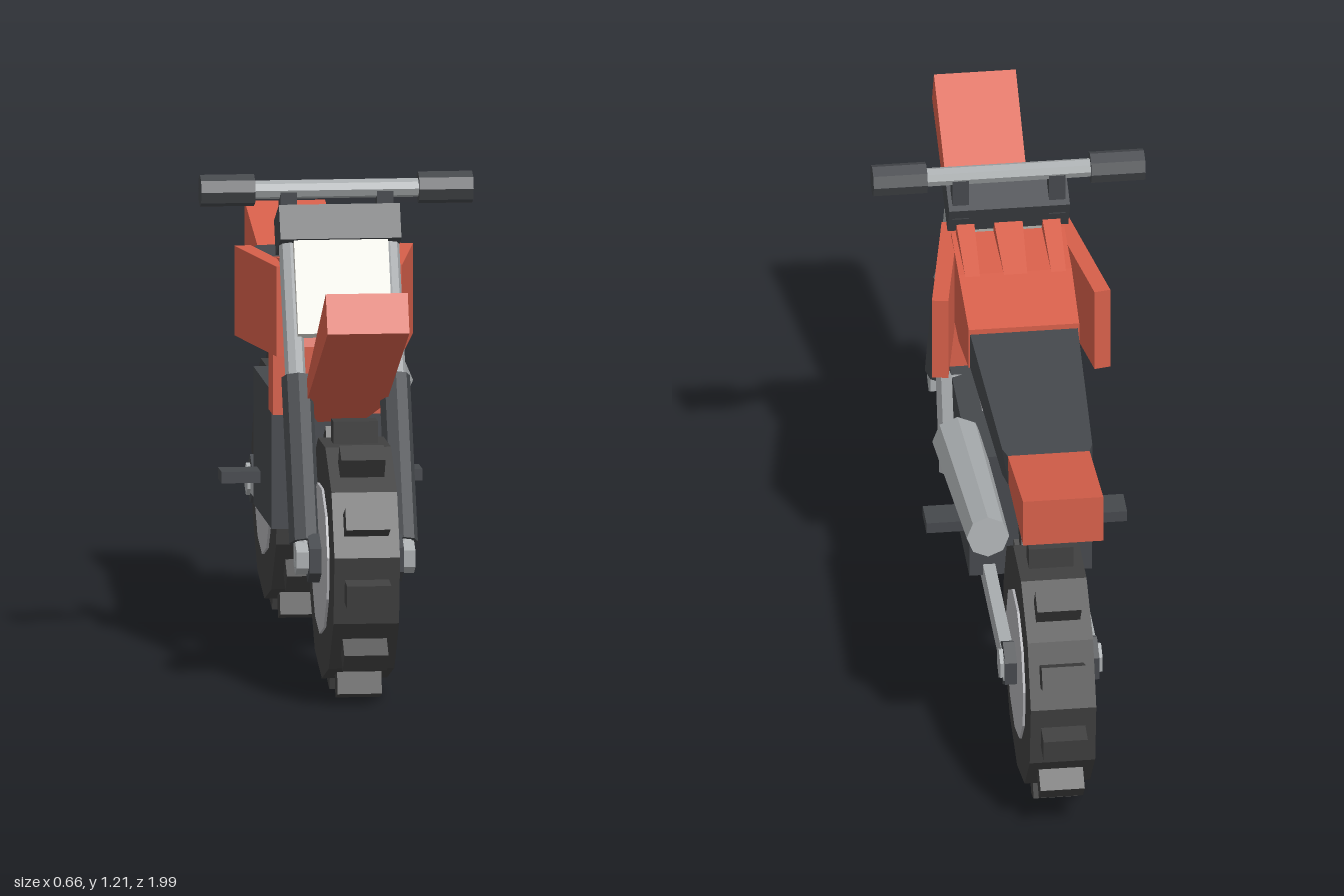
import * as THREE from 'three';

const mat = (color) => new THREE.MeshStandardMaterial({ color, flatShading: true });
const red = mat(0xd65f4a), dark = mat(0x45484c), black = mat(0x404040);
const metal = mat(0xa8acae), rimGrey = mat(0xb0b0b4), cream = mat(0xe2e1da);

export function createModel() {
  const root = new THREE.Group();

  const add = (name, geometry, material, parent = root) => {
    const mesh = new THREE.Mesh(geometry, material);
    mesh.name = name;
    parent.add(mesh);
    return mesh;
  };
  const box = (name, size, pos, material, parent) => {
    const mesh = add(name, new THREE.BoxGeometry(...size), material, parent);
    mesh.position.set(...pos);
    return mesh;
  };
  // Rod running from point a to point b
  const rod = (name, a, b, ra, rb, sides, material, parent) => {
    const from = new THREE.Vector3(...a), to = new THREE.Vector3(...b);
    const dir = to.clone().sub(from);
    const mesh = add(name, new THREE.CylinderGeometry(rb, ra, dir.length(), sides), material, parent);
    mesh.position.copy(from).add(to).multiplyScalar(0.5);
    mesh.quaternion.setFromUnitVectors(new THREE.Vector3(0, 1, 0), dir.normalize());
    return mesh;
  };
  // Drum lying along x, with one corner pointing straight down
  const drum = (name, radius, width, sides, material, parent) =>
    add(name, new THREE.CylinderGeometry(radius, radius, width, sides, 1, false, -Math.PI / 2)
      .rotateZ(Math.PI / 2), material, parent);
  // Four-sided body through sections [zBottom, yBottom, zTop, yTop, halfWidth], rear to front
  const loft = (name, sections, material, cx = 0) => {
    const pos = [], idx = [], last = (sections.length - 1) * 4;
    for (const [zb, yb, zt, yt, w] of sections)
      pos.push(cx - w, yb, zb, cx + w, yb, zb, cx + w, yt, zt, cx - w, yt, zt);
    for (let s = 0; s < last; s += 4)
      for (let j = 0; j < 4; j++) {
        const a = s + j, b = s + (j + 1) % 4;
        idx.push(a, b, b + 4, a, b + 4, a + 4);
      }
    idx.push(0, 2, 1, 0, 3, 2, last, last + 1, last + 2, last, last + 2, last + 3);
    const g = new THREE.BufferGeometry();
    g.setAttribute('position', new THREE.Float32BufferAttribute(pos, 3));
    g.setIndex(idx);
    const flat = g.toNonIndexed();
    flat.computeVertexNormals();
    return add(name, flat, material);
  };

  // Wheels with eleven tread knobs
  const axleY = 0.336;
  for (const [name, z, axleWidth] of [['frontWheel', 0.66, 0.29], ['rearWheel', -0.655, 0.25]]) {
    const wheel = new THREE.Group();
    wheel.name = name;
    wheel.position.set(0, axleY, z);
    root.add(wheel);
    drum('tyre', 0.295, 0.16, 11, black, wheel);
    drum('rim', 0.185, 0.172, 11, rimGrey, wheel);
    drum('hub', 0.06, 0.23, 6, dark, wheel);
    drum('axle', 0.04, axleWidth, 6, metal, wheel);
    for (let i = 0; i < 11; i++) {
      const a = (i / 11) * Math.PI * 2;
      const knob = box('treadKnob', [0.108, 0.08, 0.056],
        [0, Math.cos(a) * 0.298, Math.sin(a) * 0.298], black, wheel);
      knob.rotation.x = a;
    }
  }

  // Parts mirrored on both sides
  for (const s of [-1, 1]) {
    rod('forkTube', [s * 0.122, 0.315, 0.665], [s * 0.122, 1.08, 0.29], 0.025, 0.025, 8, metal);
    rod('forkLower', [s * 0.119, 0.37, 0.638], [s * 0.119, 0.75, 0.456], 0.038, 0.038, 8, dark);
    box('handlebarRiser', [0.04, 0.11, 0.042], [s * 0.118, 1.12, 0.235], dark);
    rod('grip', [s * 0.2, 1.178, 0.235], [s * 0.332, 1.178, 0.235], 0.039, 0.039, 8, dark);
    const shroud = box('tankShroud', [0.04, 0.22, 0.36], [s * 0.166, 0.89, 0.13], red);
    shroud.rotation.y = -s * 0.18;
    box('swingarm', [0.03, 0.06, 0.56], [s * 0.102, 0.336, -0.41], metal);
    box('footpeg', [0.12, 0.028, 0.08], [s * 0.185, 0.425, -0.125], dark);
  }

  // Steering head and handlebar
  const clamp = box('tripleClamp', [0.295, 0.088, 0.125], [0, 1.085, 0.275], dark);
  clamp.rotation.x = -0.45;
  rod('handlebar', [-0.21, 1.178, 0.235], [0.21, 1.178, 0.235], 0.023, 0.023, 8, metal);
  loft('frontPlate', [
    [0.415, 0.84, 0.315, 1.05, 0.115],
    [0.45, 0.855, 0.35, 1.07, 0.115],
  ], cream);

  // Fenders and seat
  loft('frontFender', [
    [0.325, 0.62, 0.335, 0.652, 0.055],
    [0.46, 0.682, 0.46, 0.73, 0.098],
    [0.98, 0.932, 0.94, 1.025, 0.1],
  ], red);
  loft('rearFender', [
    [-0.94, 0.85, -0.94, 0.975, 0.098],
    [-0.65, 0.842, -0.63, 0.913, 0.1],
  ], red);
  loft('seat', [
    [-0.652, 0.842, -0.63, 0.913, 0.1],
    [-0.6, 0.842, -0.6, 0.914, 0.11],
    [-0.09, 0.84, -0.09, 0.935, 0.132],
  ], dark);

  // Fuel tank with raised ridges at the steering head
  loft('fuelTank', [
    [-0.105, 0.84, -0.105, 0.948, 0.135],
    [0.08, 0.8, 0.08, 0.99, 0.138],
    [0.3, 0.8, 0.24, 1.01, 0.138],
  ], red);
  for (const [x, w] of [[-0.105, 0.022], [0, 0.035], [0.105, 0.022]])
    loft('tankRidge', [
      [0.06, 0.95, 0.06, 0.984, w * 0.8],
      [0.25, 0.95, 0.235, 1.045, w],
    ], red, x);
  box('radiator', [0.315, 0.26, 0.1], [0, 0.76, 0.222], red);

  // Engine
  box('engineBlock', [0.3, 0.337, 0.42], [0, 0.504, -0.04], dark);
  box('engineCylinder', [0.19, 0.2, 0.21], [0, 0.75, 0.065], rimGrey);

  // Exhaust on the left side only
  rod('exhaustHeader', [0.15, 0.665, 0.155], [0.15, 0.43, 0.078], 0.036, 0.036, 8, metal);
  rod('muffler', [0.165, 0.65, -0.13], [0.158, 0.738, -0.715], 0.062, 0.052, 8, metal);

  return root;
}
